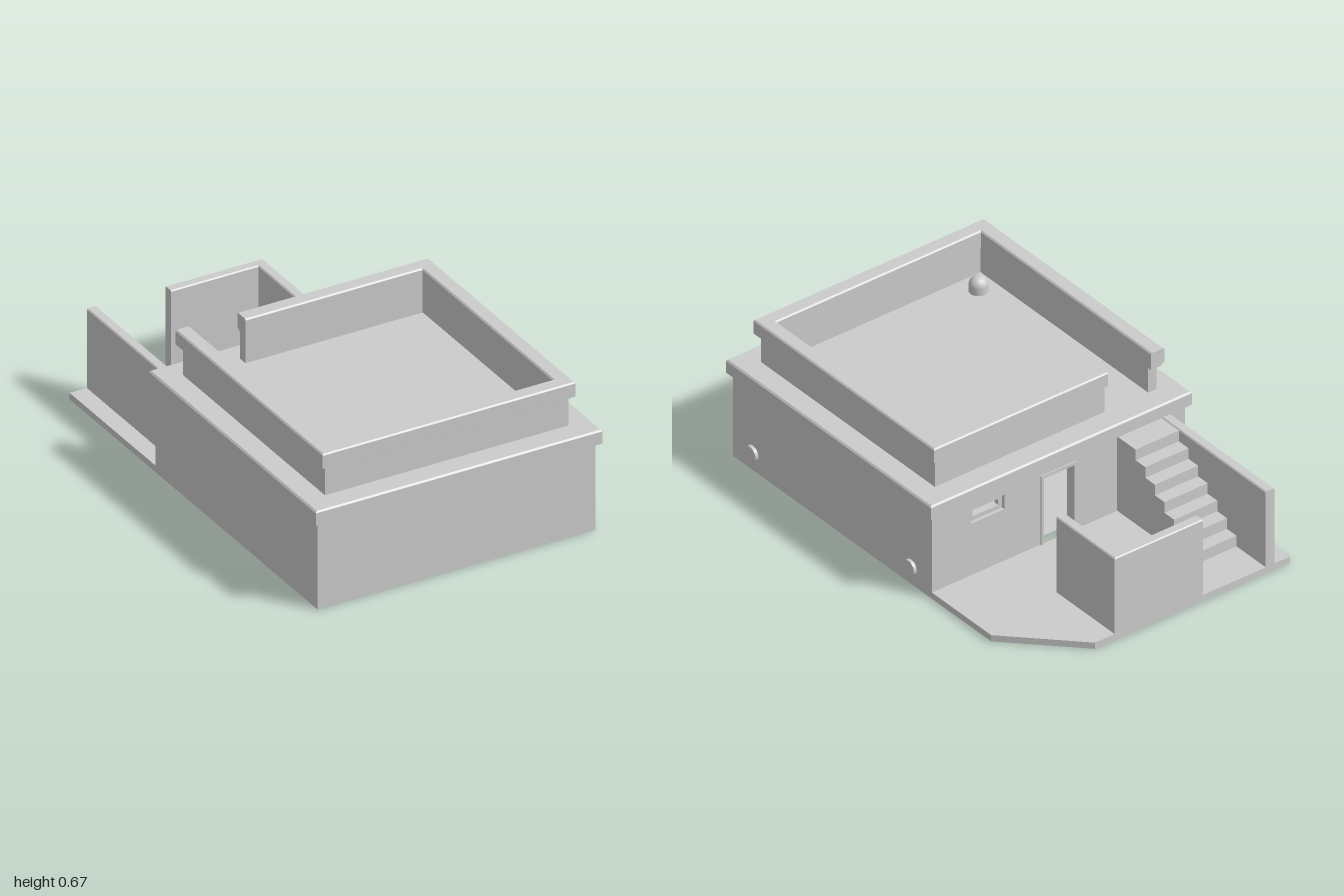
import * as THREE from 'three';

const material = new THREE.MeshStandardMaterial({ color: 0xcccccc });

export function createModel() {
  const group = new THREE.Group();

  const add = (name, geometry) => {
    const mesh = new THREE.Mesh(geometry, material);
    mesh.name = name;
    group.add(mesh);
    return mesh;
  };

  // Box given by its limits on each axis
  const box = (name, x0, x1, y0, y1, z0, z1) =>
    add(name, new THREE.BoxGeometry(x1 - x0, y1 - y0, z1 - z0))
      .position.set((x0 + x1) / 2, (y0 + y1) / 2, (z0 + z1) / 2);

  // Convex profile [outward, height] swept along a mitred plan path [x, z]
  const sweep = (name, path, profile, closed = false) => {
    const n = path.length;
    const normal = (a, b) => {
      const dx = b[0] - a[0], dz = b[1] - a[1], l = Math.hypot(dx, dz);
      return [dz / l, -dx / l];
    };
    const rings = path.map((p, i) => {
      const before = i > 0 || closed ? normal(path[(i + n - 1) % n], p) : null;
      const after = i < n - 1 || closed ? normal(p, path[(i + 1) % n]) : null;
      const a = before || after, b = after || before;
      const k = 1 + a[0] * b[0] + a[1] * b[1];
      const m = [(a[0] + b[0]) / k, (a[1] + b[1]) / k];
      return profile.map(([d, y]) => [p[0] + m[0] * d, y, p[1] + m[1] * d]);
    });
    const pos = [];
    const tri = (a, b, c) => pos.push(...a, ...b, ...c);
    const count = profile.length;
    for (let i = 0; i < (closed ? n : n - 1); i++) {
      const r = rings[i], s = rings[(i + 1) % n];
      for (let j = 0; j < count; j++) {
        const k = (j + 1) % count;
        tri(r[j], r[k], s[k]);
        tri(r[j], s[k], s[j]);
      }
    }
    if (!closed) {
      const first = rings[0], last = rings[n - 1];
      for (let j = 1; j < count - 1; j++) {
        tri(first[0], first[j + 1], first[j]);
        tri(last[0], last[j], last[j + 1]);
      }
    }
    const g = new THREE.BufferGeometry();
    g.setAttribute('position', new THREE.Float32BufferAttribute(pos, 3));
    g.computeVertexNormals();
    return add(name, g);
  };

  const polygon = (points, Type = THREE.Shape) =>
    new Type(points.map(([x, y]) => new THREE.Vector2(x, y)));
  const rect = (x0, x1, y0, y1, Type) =>
    polygon([[x0, y0], [x1, y0], [x1, y1], [x0, y1]], Type);
  const extrude = (shape, depth) =>
    new THREE.ExtrudeGeometry(shape, { depth, bevelEnabled: false });

  // Ground floor: hollow walls, thin floor and inner partition
  const W = 0.645, T = 0.045, BACK = -0.315, FRONT = 0.98, TOP = 0.39;
  box('frontWall', -W, W, 0, TOP, FRONT - T, FRONT);
  for (const s of [-1, 1]) {
    const xs = [s * W, s * (W - T)].sort((a, b) => a - b);
    box('sideWall', xs[0], xs[1], 0, TOP, BACK + T, FRONT - T);
  }
  box('floor', -W + T, W - T, 0.023, 0.03, BACK + T, FRONT - T);
  box('partition', 0.03, W - T, 0, TOP, 0.25, 0.29);

  // Back wall with doorway and window
  const backWall = polygon([[-W, 0], [-0.08, 0], [-0.08, 0.35], [0.08, 0.35],
    [0.08, 0], [W, 0], [W, TOP], [-W, TOP]]);
  backWall.holes.push(rect(0.275, 0.445, 0.28, 0.35, THREE.Path));
  add('backWall', extrude(backWall, T)).position.z = BACK;

  const slit = rect(0.275, 0.445, 0.28, 0.35);
  slit.holes.push(rect(0.295, 0.425, 0.3, 0.33, THREE.Path));
  add('windowSlit', extrude(slit, 0.025)).position.z = BACK + 0.015;

  const frame = polygon([[-0.092, 0.03], [-0.078, 0.03], [-0.078, 0.348],
    [0.078, 0.348], [0.078, 0.03], [0.092, 0.03], [0.092, 0.362], [-0.092, 0.362]]);
  add('doorFrame', extrude(frame, 0.02)).position.z = BACK - 0.006;

  // Round caps on the side wall
  for (const z of [0.85, -0.18]) {
    const cap = add('wallCap', new THREE.CylinderGeometry(0.035, 0.037, 0.014, 32));
    cap.rotation.z = -Math.PI / 2;
    cap.position.set(W + 0.007, 0.082, z);
  }

  // Roof slab with chamfered cornice
  const X = 0.665, Z0 = -0.335, Z1 = 1, B = 0.06;
  box('roofSlab', -X + B, X - B, TOP, 0.465, Z0 + B, Z1 - B);
  sweep('cornice', [[-X, Z0], [X, Z0], [X, Z1], [-X, Z1]],
    [[-B, TOP], [-0.02, TOP], [0, 0.402], [0, 0.458], [-0.007, 0.465], [-B, 0.465]], true);

  // Parapet with an opening above the stairs
  sweep('parapetWall',
    [[-0.3, -0.232], [0.565, -0.232], [0.565, 0.9], [-0.565, 0.9], [-0.565, -0.232]],
    [[-0.042, 0.465], [0, 0.465], [0, 0.587], [-0.042, 0.587]]);
  sweep('parapetCoping',
    [[-0.3, -0.255], [0.587, -0.255], [0.587, 0.92], [-0.587, 0.92], [-0.587, -0.255]],
    [[-0.067, 0.587], [-0.022, 0.587], [0, 0.602], [0, 0.662], [-0.006, 0.668],
      [-0.061, 0.668], [-0.067, 0.662]]);

  // Domed roof vent
  const dome = [[0.04, 0], [0.04, 0.03]].map(([x, y]) => new THREE.Vector2(x, y));
  for (let i = 1; i <= 10; i++) {
    const a = (i / 10) * Math.PI / 2;
    dome.push(new THREE.Vector2(0.04 * Math.cos(a), 0.03 + 0.04 * Math.sin(a)));
  }
  add('roofVent', new THREE.LatheGeometry(dome, 32)).position.set(-0.435, 0.465, 0.76);

  // Terrace slab with one cut corner
  const terrace = polygon([[-W, 0.315], [W, 0.315], [W, 0.7], [0.35, 1], [-W, 1]]);
  const slab = add('terraceSlab', extrude(terrace, 0.03));
  slab.rotation.x = -Math.PI / 2;

  // Terrace walls
  const wallProfile = [[-0.045, 0.03], [0, 0.03], [0, 0.391], [-0.005, 0.396],
    [-0.04, 0.396], [-0.045, 0.391]];
  sweep('cornerTerraceWall', [[-0.2, -1], [0.25, -1], [0.25, -0.62]], wallProfile);
  sweep('sideTerraceWall', [[-0.565, BACK], [-0.565, -1]], wallProfile);

  // Solid staircase as one stepped profile
  const steps = 7, run = 0.0625, rise = 0.0515, start = 0.81;
  const outline = [[-BACK, 0.03], [start, 0.03]];
  for (let i = 0; i < steps; i++) {
    outline.push([start - i * run, 0.03 + (i + 1) * rise]);
    outline.push([i < steps - 1 ? start - (i + 1) * run : -BACK, 0.03 + (i + 1) * rise]);
  }
  const stairs = add('stairs', extrude(polygon(outline), 0.22));
  stairs.rotation.y = Math.PI / 2;
  stairs.position.x = -0.52;

  return group;
}
